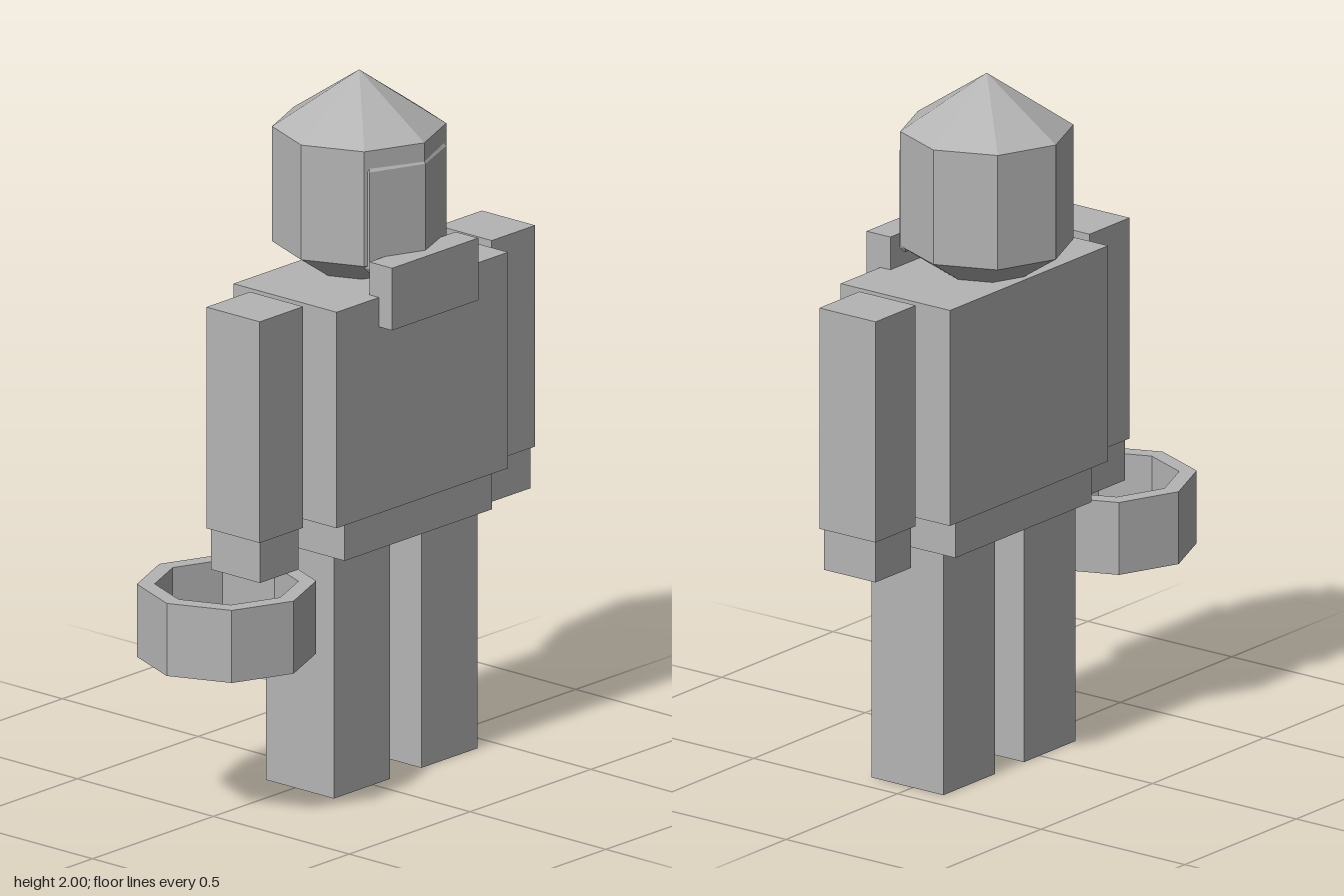
import * as THREE from 'three';

const stone = new THREE.MeshStandardMaterial({ color: 0xb4b4b4, flatShading: true });
stone.name = 'plain grey';

export function createModel() {
  const model = new THREE.Group();
  model.name = 'blockFigure';

  const add = (name, geometry, x = 0, y = 0, z = 0) => {
    const mesh = new THREE.Mesh(geometry, stone);
    mesh.name = name;
    mesh.position.set(x, y, z);
    model.add(mesh);
    return mesh;
  };
  // Box given by its limits on each axis
  const box = (name, [x0, x1], [y0, y1], [z0, z1]) =>
    add(name, new THREE.BoxGeometry(x1 - x0, y1 - y0, z1 - z0),
      (x0 + x1) / 2, (y0 + y1) / 2, (z0 + z1) / 2);
  // Eight-sided turned form
  const octagon = (name, profile, x, z) =>
    add(name, new THREE.LatheGeometry(profile.map(p => new THREE.Vector2(...p)), 8), x, 0, z);

  const centre = 0.135; // the body's own middle, offset by the held ring

  // Torso and hips
  box('torso', [-0.22, 0.49], [0.81, 1.435], [-0.175, 0.205]);
  box('hips', [-0.17, 0.44], [0.7, 0.81], [-0.155, 0.19]);

  // Limbs, mirrored about the body's middle
  for (const [side, s] of [['right', -1], ['left', 1]]) {
    const span = (a, b) => [centre + s * a, centre + s * b].sort((p, q) => p - q);
    box(side + 'Leg', span(0.065, 0.297), [0, 0.7], [-0.107, 0.143]);
    box(side + 'Arm', span(0.39, 0.57), [0.8, 1.44], [-0.083, 0.113]);
    box(side + 'Hand', span(0.4, 0.56), [0.68, 0.8], [-0.075, 0.105]);
  }

  // Head with pointed crown and tapering neck
  octagon('head', [[0, 1.35], [0.24, 1.508], [0.24, 1.84], [0, 2]], centre, -0.028);

  // Angled face plate with a small bevelled rim
  const outline = new THREE.Shape([
    [-0.16, -0.13], [0.16, -0.13], [0.16, -0.152], [0, -0.216], [-0.16, -0.152],
  ].map(p => new THREE.Vector2(...p)).reverse());
  const plate = new THREE.ExtrudeGeometry(outline, {
    depth: 0.28, bevelEnabled: true, bevelSegments: 1,
    bevelSize: 0.01, bevelOffset: -0.01, bevelThickness: 0.015,
  });
  plate.rotateX(-Math.PI / 2);
  add('facePlate', plate, centre, 1.5, 0);

  // Block under the face
  box('chinBlock', [-0.045, 0.312], [1.35, 1.53], [0.17, 0.253]);

  // Open ring below the right hand
  octagon('ring', [[0.247, 0.46], [0.247, 0.67], [0.198, 0.67], [0.198, 0.46], [0.247, 0.46]], -0.46, 0.013);

  return model;
}
